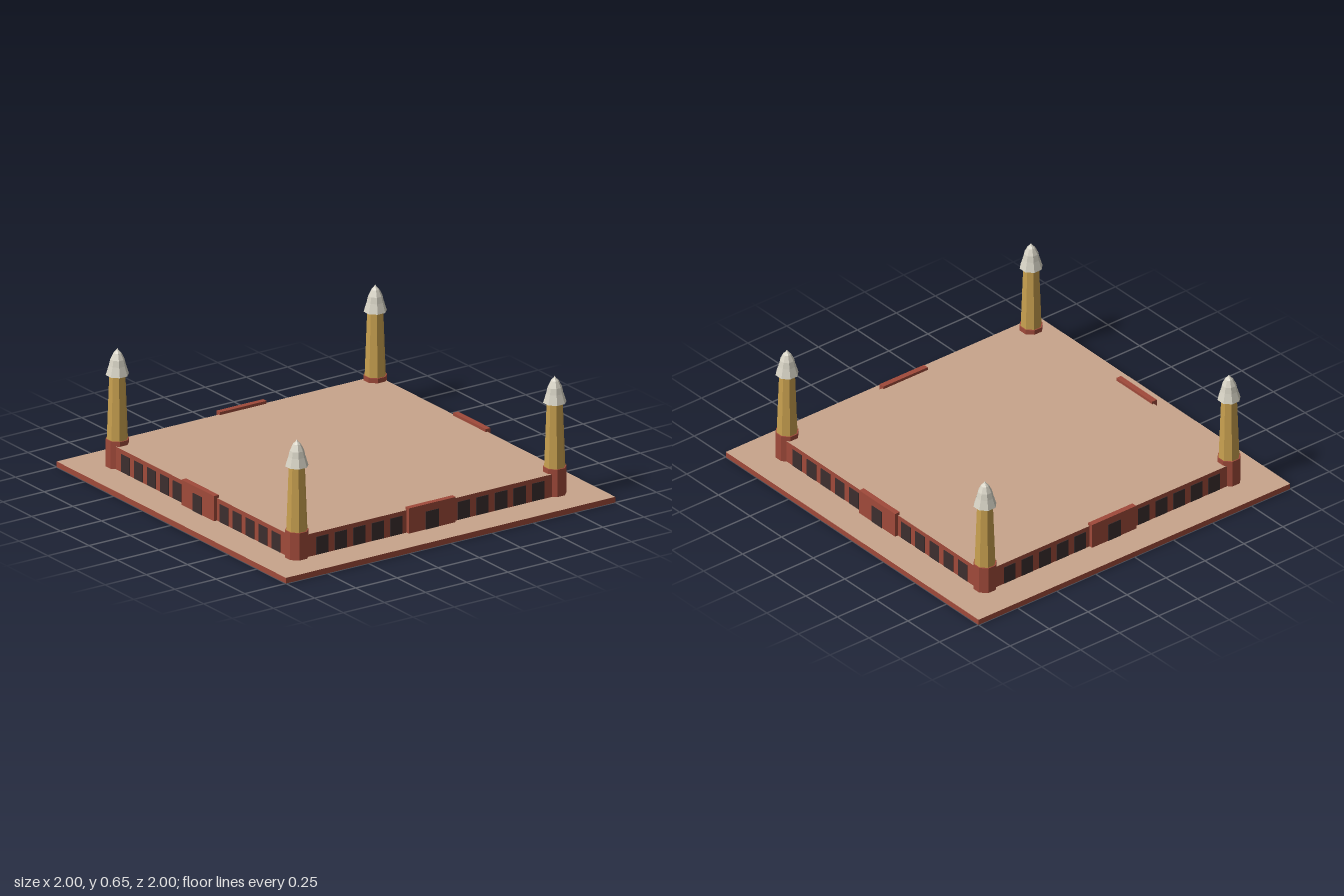
import * as THREE from 'three';

const brick = new THREE.MeshStandardMaterial({ color: 0xa04a3a, side: THREE.DoubleSide });
const sand = new THREE.MeshStandardMaterial({ color: 0xc8a58c, side: THREE.DoubleSide });
const gold = new THREE.MeshStandardMaterial({ color: 0xc8a04f, flatShading: true });
const stone = new THREE.MeshStandardMaterial({ color: 0xd6d2c4, flatShading: true, side: THREE.DoubleSide });
const dark = new THREE.MeshStandardMaterial({ color: 0x3c2e2e });
const brickFacet = brick.clone();
brickFacet.flatShading = true;
brick.name = brickFacet.name = 'brick red';
sand.name = 'sand';
gold.name = 'gold';
stone.name = 'pale stone';
dark.name = 'dark opening';

const GROUND = 0.03, ROOF = 0.15, WALL = 0.82, TOWER = 0.783;
const OCT = 1 / Math.cos(Math.PI / 8); // flat-to-flat radius to corner radius

function add(parent, name, geometry, material, x = 0, y = 0, z = 0) {
  const mesh = new THREE.Mesh(geometry, material);
  mesh.name = name;
  mesh.position.set(x, y, z);
  parent.add(mesh);
  return mesh;
}

// Flat horizontal square facing up
const deck = (size) => new THREE.PlaneGeometry(size, size).rotateX(-Math.PI / 2);

// Octagonal open tube with a flat side facing front
const tube = (rTop, rBottom, h) =>
  new THREE.CylinderGeometry(rTop * OCT, rBottom * OCT, h, 8, 1, true).rotateY(Math.PI / 8);

// One of the four identical facades
function createSide() {
  const side = new THREE.Group();
  add(side, 'platformEdge', new THREE.PlaneGeometry(2, GROUND), brick, 0, GROUND / 2, 1);
  add(side, 'wall', new THREE.PlaneGeometry(WALL * 2, ROOF - GROUND), brick, 0, (ROOF + GROUND) / 2, WALL);
  add(side, 'gate', new THREE.BoxGeometry(0.284, 0.134, 0.03), brick, 0, 0.098, 0.825);
  add(side, 'door', new THREE.BoxGeometry(0.08, 0.095, 0.004), dark, 0, 0.079, 0.841);
  for (const s of [-1, 1]) {
    for (let i = 0; i < 5; i++) {
      add(side, 'window', new THREE.BoxGeometry(0.074, 0.095, 0.004), dark, s * (0.205 + i * 0.1125), 0.079, WALL + 0.001);
    }
  }
  return side;
}

// Corner minaret: brick foot, tapering shaft, flared eave and domed cap
function createTower() {
  const tower = new THREE.Group();
  tower.name = 'tower';
  add(tower, 'towerFoot', tube(0.056, 0.056, 0.175), brickFacet, 0, 0.0875);
  add(tower, 'footTop', new THREE.CircleGeometry(0.056 * OCT, 8).rotateZ(Math.PI / 8).rotateX(-Math.PI / 2), brickFacet, 0, 0.175);
  add(tower, 'shaft', tube(0.038, 0.05, 0.345), gold, 0, 0.3475);
  add(tower, 'eave', tube(0.041, 0.055, 0.05), stone, 0, 0.54);
  const profile = [[0.041, 0.562], [0.034, 0.597], [0.019, 0.63], [0.007, 0.643], [0, 0.655]]
    .map(([r, y]) => new THREE.Vector2(r * OCT, y));
  add(tower, 'dome', new THREE.LatheGeometry(profile, 8).rotateY(Math.PI / 8), stone);
  return tower;
}

export function createModel() {
  const model = new THREE.Group();
  model.name = 'walledCourt';
  add(model, 'ground', deck(2), sand, 0, GROUND);
  add(model, 'roof', deck(WALL * 2), sand, 0, ROOF);
  for (let i = 0; i < 4; i++) {
    const side = createSide();
    side.name = ['front', 'left', 'back', 'right'][i] + 'Side';
    side.rotation.y = i * Math.PI / 2;
    model.add(side);
  }
  for (const x of [-1, 1]) {
    for (const z of [-1, 1]) {
      const tower = createTower();
      tower.position.set(x * TOWER, 0, z * TOWER);
      model.add(tower);
    }
  }
  return model;
}
